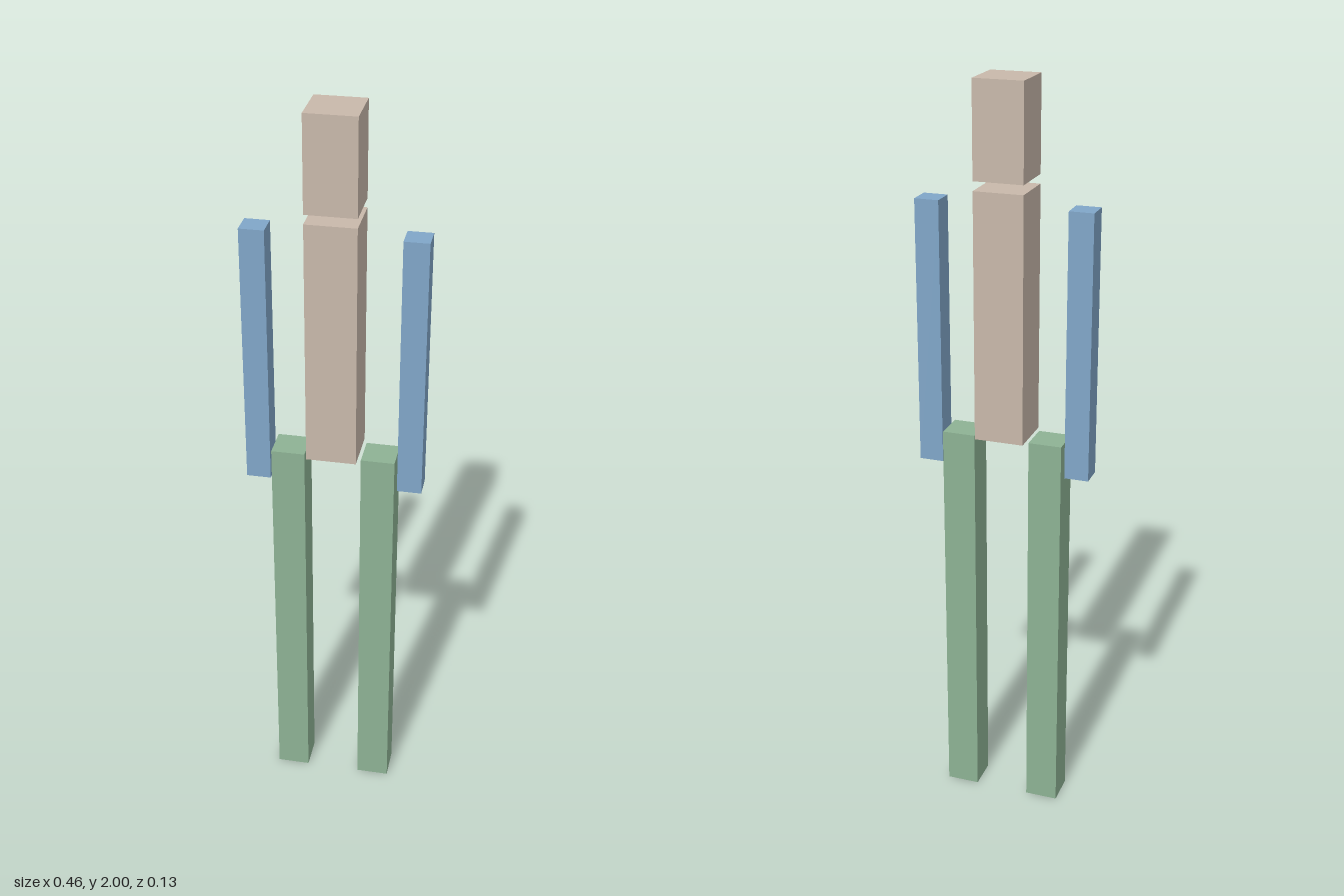
import * as THREE from 'three';

export function createModel() {
  const group = new THREE.Group();

  const material = (name, color) => {
    const m = new THREE.MeshStandardMaterial({ color });
    m.name = name;
    return m;
  };
  const tan = material('tan', 0xc8b8aa);
  const blue = material('blue', 0x80a6c8);
  const green = material('green', 0x8db294);

  // Square upright block between two heights
  const block = (name, mat, width, bottom, top, x = 0) => {
    const mesh = new THREE.Mesh(new THREE.BoxGeometry(width, top - bottom, width), mat);
    mesh.name = name;
    mesh.position.set(x, (bottom + top) / 2, 0);
    group.add(mesh);
  };

  // Head and torso, with a small gap at the neck
  block('head', tan, 0.13, 1.756, 2);
  block('torso', tan, 0.13, 1.084, 1.732);

  // Mirrored limbs
  for (const [side, s] of [['left', 1], ['right', -1]]) {
    block(side + 'Arm', blue, 0.064, 0.994, 1.694, s * 0.2);
    block(side + 'Leg', green, 0.088, 0, 1.084, s * 0.118);
  }

  return group;
}
